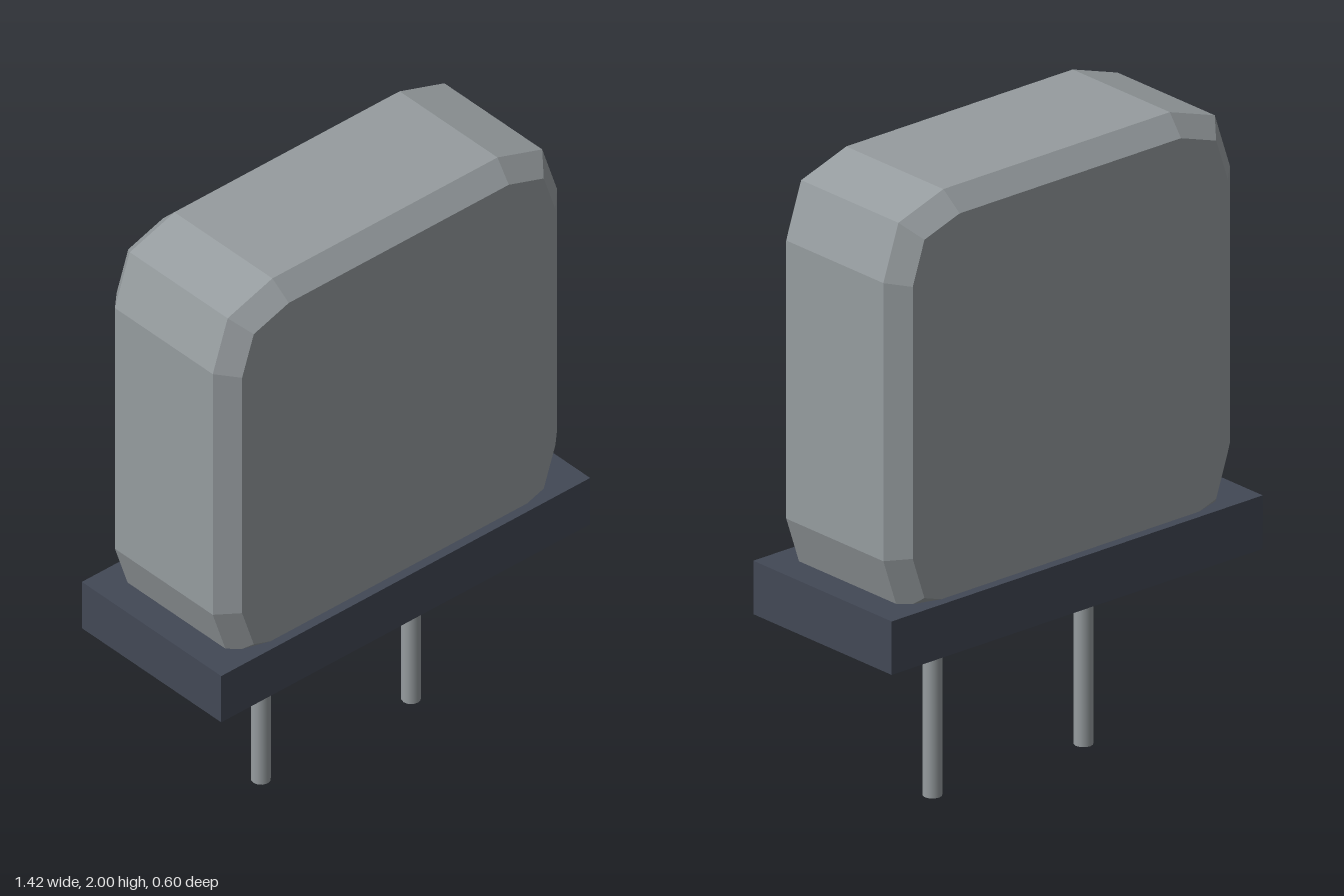
import * as THREE from 'three';

export function createModel() {
  const model = new THREE.Group();
  model.name = 'crystalComponent';
  const metal = new THREE.MeshStandardMaterial({ color: 0x969c9f });
  metal.name = 'grey metal';
  const dark = new THREE.MeshStandardMaterial({ color: 0x424855 });
  dark.name = 'dark slate';

  const add = (name, geometry, material, x, y, z) => {
    const mesh = new THREE.Mesh(geometry, material);
    mesh.name = name;
    mesh.position.set(x, y, z);
    model.add(mesh);
  };

  // Can: rounded square with faceted corners and a bevelled rim
  const h = 0.605, r = 0.18, bevel = 0.06, depth = 0.424;
  const outline = new THREE.Shape();
  outline.moveTo(h - r, -h);
  outline.quadraticCurveTo(h, -h, h, r - h);
  outline.lineTo(h, h - r);
  outline.quadraticCurveTo(h, h, h - r, h);
  outline.lineTo(r - h, h);
  outline.quadraticCurveTo(-h, h, -h, h - r);
  outline.lineTo(-h, r - h);
  outline.quadraticCurveTo(-h, -h, r - h, -h);
  outline.lineTo(h - r, -h);
  const can = new THREE.ExtrudeGeometry(outline, {
    depth, curveSegments: 2, bevelSegments: 1, bevelSize: bevel, bevelThickness: bevel,
  });
  can.translate(0, 0, -depth / 2);
  add('can', can, metal, 0, 1.335, 0);

  // Base plate around the bottom of the can
  add('basePlate', new THREE.BoxGeometry(1.425, 0.167, 0.604), dark, 0, 0.67, 0);

  // Two round pins
  for (const [name, side] of [['leftPin', 1], ['rightPin', -1]]) {
    add(name, new THREE.CylinderGeometry(0.029, 0.029, 0.62, 12), metal, side * 0.29, 0.31, 0);
  }
  return model;
}
